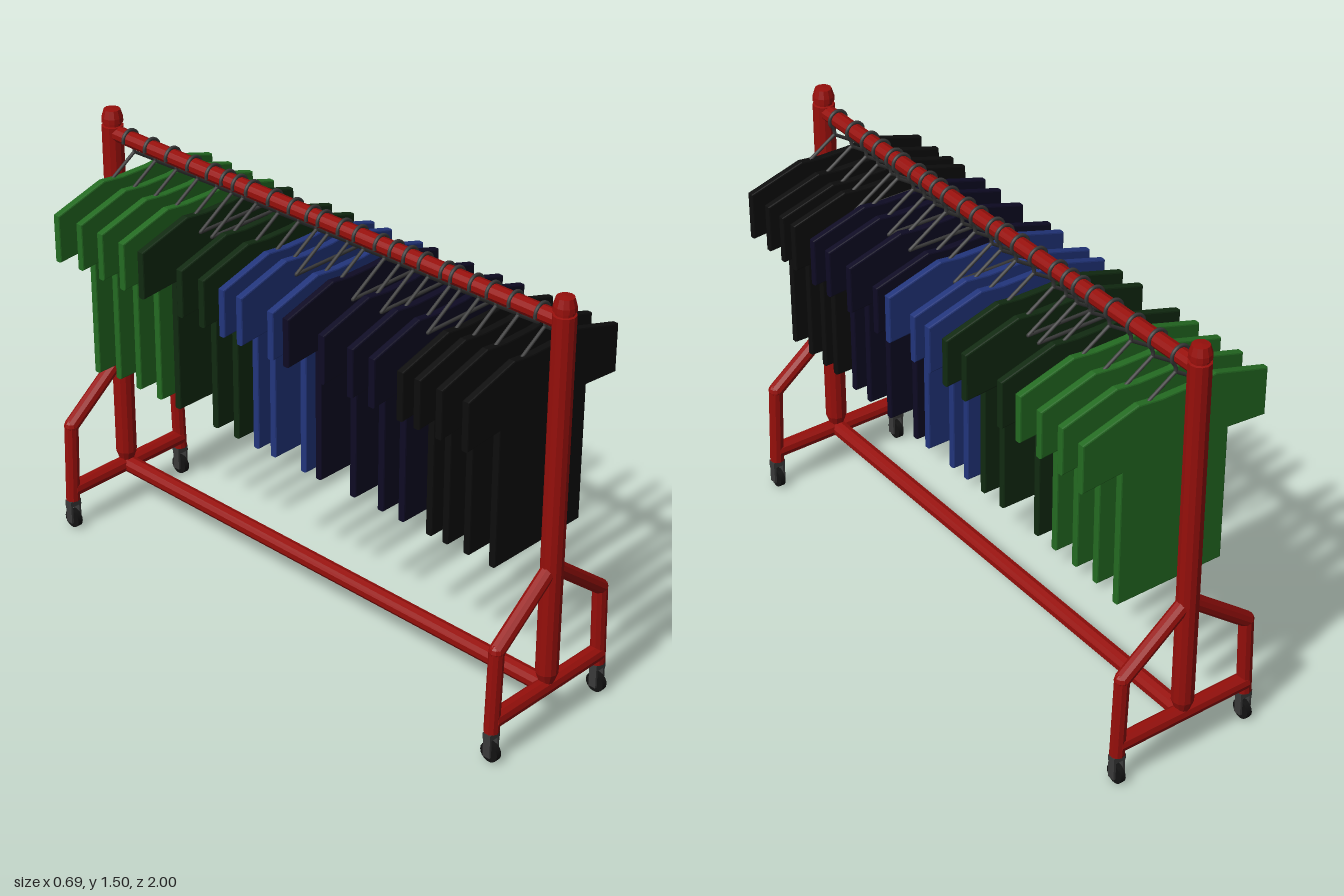
import * as THREE from 'three';

const V = (x, y, z) => new THREE.Vector3(x, y, z);
const mat = (color, flatShading = false) => new THREE.MeshStandardMaterial({ color, flatShading });
const RED = mat(0x960f0b, true), METAL = mat(0x3a3a3a), RUBBER = mat(0x121212);
const CX = -0.015; // the frame sits slightly right of the clothes
const RAIL_Y = 1.42, END_Z = 0.965;

function add(parent, name, geometry, material) {
  const mesh = new THREE.Mesh(geometry, material);
  mesh.name = name;
  parent.add(mesh);
  return mesh;
}

// Straight tube between two points
function bar(parent, name, a, b, r, material = RED, sides = 10) {
  const d = b.clone().sub(a);
  const mesh = add(parent, name, new THREE.CylinderGeometry(r, r, d.length(), sides), material);
  mesh.position.copy(a).addScaledVector(d, 0.5);
  mesh.quaternion.setFromUnitVectors(V(0, 1, 0), d.normalize());
  return mesh;
}

// Wheel in a fork
function makeCaster() {
  const g = new THREE.Group();
  g.name = 'caster';
  add(g, 'casterPlate', new THREE.BoxGeometry(0.046, 0.022, 0.03), METAL).position.y = 0.098;
  for (const s of [-1, 1])
    add(g, 'casterFork', new THREE.BoxGeometry(0.008, 0.075, 0.028), METAL).position.set(s * 0.018, 0.06, 0);
  const wheel = add(g, 'wheel', new THREE.CylinderGeometry(0.034, 0.034, 0.02, 18), RUBBER);
  wheel.rotation.z = Math.PI / 2;
  wheel.position.y = 0.034;
  const axle = add(g, 'axle', new THREE.CylinderGeometry(0.008, 0.008, 0.044, 8), METAL);
  axle.rotation.z = Math.PI / 2;
  axle.position.y = 0.034;
  return g;
}

// End stand: post, cap, bent legs, foot bar and casters
function makeStand() {
  const g = new THREE.Group();
  g.name = 'endStand';
  const profile = [[0, 0.15], [0.018, 0.15], [0.037, 0.205], [0.037, 1.445], [0.03, 1.447], [0.03, 1.457],
    [0.037, 1.459], [0.036, 1.475], [0.028, 1.502], [0, 1.505]];
  const post = add(g, 'post', new THREE.LatheGeometry(profile.map(p => new THREE.Vector2(...p)), 12), RED);
  post.position.x = CX;
  bar(g, 'footBar', V(CX - 0.255, 0.15, 0), V(CX + 0.255, 0.15, 0), 0.029);
  for (const s of [-1, 1]) {
    const top = V(CX + s * 0.015, 0.58, 0), knee = V(CX + s * 0.245, 0.4, 0), foot = V(CX + s * 0.255, 0.11, 0);
    bar(g, 'upperLeg', top, knee, 0.026);
    bar(g, 'lowerLeg', knee, foot, 0.025);
    add(g, 'knee', new THREE.SphereGeometry(0.026, 10, 6), RED).position.copy(knee);
    const caster = makeCaster();
    caster.position.x = foot.x;
    g.add(caster);
  }
  return g;
}

// Hanger: hook over the rail and a wire triangle
const hookPoints = [];
for (let i = 0; i <= 8; i++) {
  const a = Math.PI * (1.08 - i * 0.17);
  hookPoints.push(V(CX + 0.032 * Math.cos(a), RAIL_Y + 0.032 * Math.sin(a), 0));
}
hookPoints.push(V(0, 1.382, 0), V(0, 1.365, 0));
const hookGeometry = new THREE.TubeGeometry(new THREE.CatmullRomCurve3(hookPoints), 28, 0.006, 6);

function makeHanger() {
  const g = new THREE.Group();
  g.name = 'hanger';
  add(g, 'hook', hookGeometry, METAL);
  const c = [V(0, 1.37, 0), V(-0.14, 1.28, 0), V(0.14, 1.28, 0)];
  c.forEach((p, i) => {
    bar(g, 'hangerWire', p, c[(i + 1) % 3], 0.006, METAL, 6);
    add(g, 'hangerCorner', new THREE.SphereGeometry(0.006, 6, 4), METAL).position.copy(p);
  });
  return g;
}

// T-shirt: mirrored outline with a softened rim
const BEVEL = 0.005;
const half = [[0.192, 0.64], [0.192, 1.11], [0.333, 1.098], [0.333, 1.253], [0.14, 1.31], [0.06, 1.301]];
const outline = [...half, ...half.map(([x, y]) => [-x, y]).reverse()];
const shirtGeometry = new THREE.ExtrudeGeometry(
  new THREE.Shape(outline.map(p => new THREE.Vector2(...p))),
  { depth: 0.016, bevelEnabled: true, bevelSize: BEVEL, bevelThickness: BEVEL, bevelSegments: 2 });
shirtGeometry.translate(0, 0, -0.008);

export function createModel() {
  const model = new THREE.Group();
  model.name = 'clothesRack';

  // Frame
  for (const s of [-1, 1]) {
    const stand = makeStand();
    stand.position.z = s * END_Z;
    model.add(stand);
  }
  bar(model, 'topRail', V(CX, RAIL_Y, -END_Z), V(CX, RAIL_Y, END_Z), 0.027);
  bar(model, 'bottomRail', V(CX, 0.15, -END_Z), V(CX, 0.15, END_Z), 0.03);

  // Shirts on hangers, grouped by colour from front to back
  const rows = [
    [0x0d0d0d, [0.882, 0.781, 0.696, 0.629]],
    [0x0e0b24, [0.515, 0.428, 0.31, 0.161]],
    [0x22357c, [0.095, -0.04, -0.117]],
    [0x112a11, [-0.208, -0.306, -0.485]],
    [0x246b22, [-0.575, -0.676, -0.776, -0.879]],
  ];
  const hang = (z) => {
    const hanger = makeHanger();
    hanger.position.z = z;
    model.add(hanger);
    return hanger;
  };
  for (const [color, places] of rows) {
    const cloth = mat(color, true);
    for (const z of places) {
      const shirt = add(hang(z), 'shirt', shirtGeometry, cloth);
      shirt.position.x = -0.003;
      // The rearmost shirt is a little larger
      if (z === -0.879) {
        shirt.scale.set(1.02, 1.02, 1);
        shirt.position.y = -0.026;
      }
    }
  }

  // Empty hangers
  [0.555, 0.367, 0.249, 0.009, -0.366, -0.418].forEach(hang);
  return model;
}
